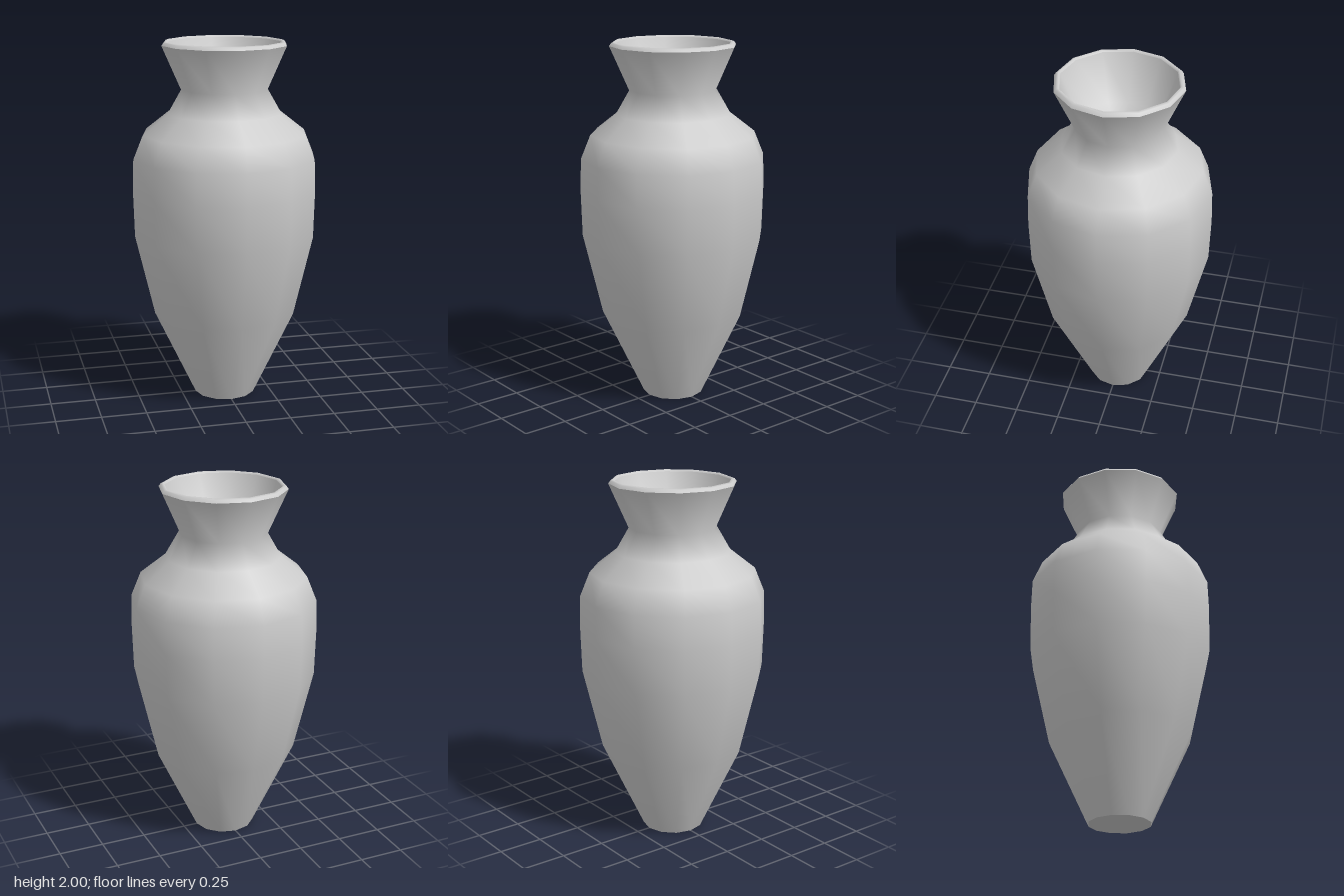
import * as THREE from 'three';

const SIDES = 12;
const material = new THREE.MeshStandardMaterial({ color: 0xcccccc });

// Revolve a [radius, height] profile around the vertical axis
function turned(name, profile) {
  const points = profile.map(([r, y]) => new THREE.Vector2(r, y));
  const mesh = new THREE.Mesh(new THREE.LatheGeometry(points, SIDES), material);
  mesh.name = name;
  return mesh;
}

export function createModel() {
  const vase = new THREE.Group();
  vase.name = 'vase';

  // Flat foot
  vase.add(turned('base', [[0, 0], [0.17, 0]]));

  // Belly, shoulder, pinched neck and flared mouth
  vase.add(turned('body', [
    [0.17, 0], [0.4, 0.49], [0.506, 0.94], [0.513, 1.19], [0.508, 1.37],
    [0.455, 1.5], [0.315, 1.61], [0.24, 1.74], [0.346, 1.98],
  ]));

  // Bevelled lip
  vase.add(turned('rim', [[0.346, 1.98], [0.335, 1.995], [0.322, 2], [0.314, 1.99]]));

  // Hollow mouth, closed by a shallow bowl in the neck
  vase.add(turned('mouthInside', [[0.314, 1.99], [0.21, 1.74], [0, 1.66]]));

  return vase;
}
